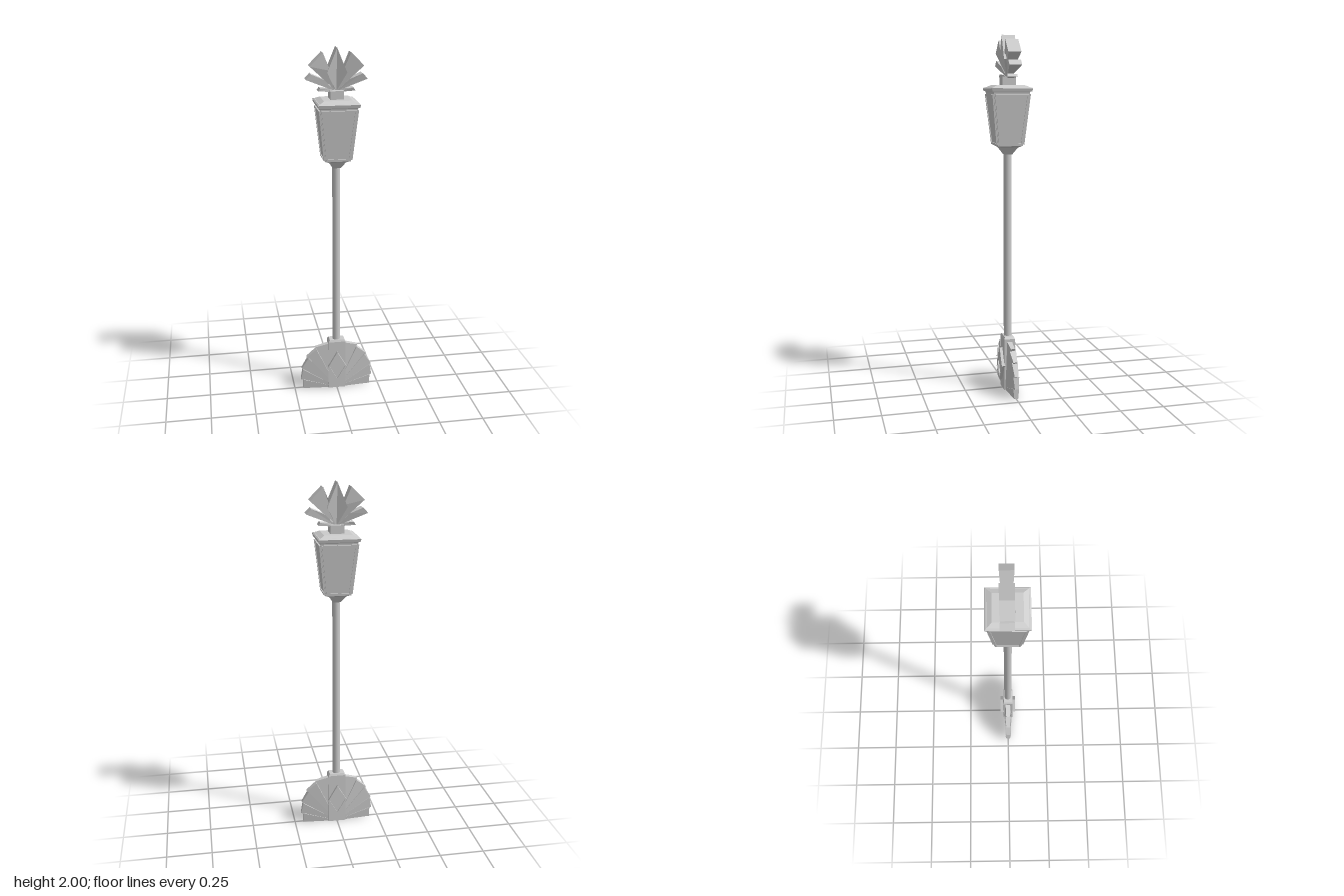
import * as THREE from 'three';

const material = new THREE.MeshStandardMaterial({ color: 0xcccccc, flatShading: true });
const smooth = new THREE.MeshStandardMaterial({ color: 0xcccccc });

// Slab from a counter-clockwise outline; each point is [x, y, half thickness]
function slab(points) {
  const v = [];
  const F = ([x, y, t]) => [x, y, t];
  const B = ([x, y, t]) => [x, y, -t];
  const n = points.length;
  for (let i = 0; i < n; i++) {
    const a = points[i], b = points[(i + 1) % n];
    if (i > 0 && i < n - 1) {
      v.push(...F(points[0]), ...F(a), ...F(b));
      v.push(...B(points[0]), ...B(b), ...B(a));
    }
    v.push(...F(a), ...B(a), ...B(b), ...F(a), ...B(b), ...F(b));
  }
  const g = new THREE.BufferGeometry();
  g.setAttribute('position', new THREE.Float32BufferAttribute(v, 3));
  g.computeVertexNormals();
  return g;
}

const mirror = (points) => points.map(([x, y, t]) => [-x, y, t]).reverse();

// Square frustum given by half widths and heights
function frustum(bottom, top, y0, y1) {
  const g = new THREE.CylinderGeometry(top * Math.SQRT2, bottom * Math.SQRT2, y1 - y0, 4);
  g.rotateY(Math.PI / 4);
  g.translate(0, (y0 + y1) / 2, 0);
  return g;
}

export function createModel() {
  const model = new THREE.Group();
  const add = (name, geometry, parent = model, mat = material) => {
    const mesh = new THREE.Mesh(geometry, mat);
    mesh.name = name;
    parent.add(mesh);
    return mesh;
  };
  const group = (name) => {
    const g = new THREE.Group();
    g.name = name;
    model.add(g);
    return g;
  };

  // Stepped, pleated fan on both sides of the foot
  const fan = group('baseFan');
  const blades = [
    [[0.2, 0], [0.2, 0.06]],
    [[0.213, 0.06], [0.2, 0.128]],
    [[0.208, 0.132], [0.168, 0.2]],
    [[0.178, 0.204], [0.12, 0.252]],
    [[0.124, 0.265], [0.0, 0.297]],
  ];
  for (const [low, high] of blades) {
    const outline = [[0, 0, 0.027], [...low, 0.011], [...high, 0.017]];
    add('fanBlade', slab(outline), fan);
    add('fanBlade', slab(mirror(outline)), fan);
  }

  // Central foot block with a shallow chamfered top
  const foot = group('footBlock');
  const block = new THREE.BoxGeometry(0.1, 0.3, 0.062);
  block.translate(0, 0.15, 0);
  add('block', block, foot);
  const blockTop = frustum(0.05, 0.042, 0.3, 0.312);
  blockTop.scale(1, 1, 0.62);
  add('blockTop', blockTop, foot);

  // Raised diamonds on front and back: a rim with a recessed panel
  const rhombus = (w, h, Type = THREE.Shape) =>
    new Type([[0, -h], [w, 0], [0, h], [-w, 0]].map(([x, y]) => new THREE.Vector2(x, y)));
  const rim = rhombus(0.055, 0.095);
  rim.holes.push(rhombus(0.045, 0.078, THREE.Path));
  const rimGeometry = new THREE.ExtrudeGeometry(rim, { depth: 0.02, bevelEnabled: false });
  const panelGeometry = new THREE.ExtrudeGeometry(rhombus(0.047, 0.081), { depth: 0.014, bevelEnabled: false });
  for (const angle of [0, Math.PI]) {
    const diamond = group('footDiamond');
    add('diamondRim', rimGeometry, diamond).position.z = 0.027;
    add('diamondPanel', panelGeometry, diamond).position.z = 0.027;
    diamond.position.y = 0.145;
    diamond.rotation.y = angle;
  }

  // Pole
  const pole = new THREE.CylinderGeometry(0.022, 0.022, 1.08, 16);
  pole.translate(0, 0.84, 0);
  add('pole', pole, model, smooth);

  // Lantern body
  const lantern = group('lantern');
  add('lanternFunnel', frustum(0.022, 0.048, 1.352, 1.392), lantern);
  add('lanternFloor', frustum(0.048, 0.07, 1.39, 1.402), lantern);
  add('lanternCore', frustum(0.07, 0.1, 1.4, 1.69), lantern);

  // Framed pane on each sloping side
  const trapezoid = (inset, Type = THREE.Shape) => {
    const b = 0.066 - inset, t = 0.094 - inset, h = 0.138 - inset;
    return new Type([[-b, -h], [b, -h], [t, h], [-t, h]].map(([x, y]) => new THREE.Vector2(x, y)));
  };
  const frame = trapezoid(0);
  frame.holes.push(trapezoid(0.009, THREE.Path));
  const frameGeometry = new THREE.ExtrudeGeometry(frame, { depth: 0.011, bevelEnabled: false });
  const paneGeometry = new THREE.ExtrudeGeometry(trapezoid(0.008), { depth: 0.006, bevelEnabled: false });
  for (let i = 0; i < 4; i++) {
    const side = new THREE.Group();
    side.name = 'lanternSide';
    side.rotation.y = (i * Math.PI) / 2;
    const tilt = new THREE.Group();
    tilt.position.set(0, 1.545, 0.082);
    tilt.rotation.x = Math.atan2(0.03, 0.29);
    add('paneFrame', frameGeometry, tilt);
    add('pane', paneGeometry, tilt);
    side.add(tilt);
    lantern.add(side);
  }

  // Cap and neck
  const cap = group('lanternCap');
  add('capUnderside', frustum(0.098, 0.104, 1.685, 1.7), cap);
  add('capSlab', frustum(0.11, 0.114, 1.697, 1.713), cap);
  add('capRim', frustum(0.114, 0.107, 1.713, 1.718), cap);
  add('capSlope', frustum(0.105, 0.077, 1.717, 1.73), cap);
  add('capNeck', frustum(0.037, 0.037, 1.725, 1.775), cap);

  // Crown of petals, thin at the root and thick at the tip
  const crown = group('crown');
  crown.position.z = -0.004;
  add('centrePetal', slab([[0, 1.77, 0.008], [0.054, 1.87, 0.037], [0, 2, 0.037], [-0.054, 1.87, 0.037]]), crown);
  const petals = [
    [[0, 1.77, 0.006], [0.145, 1.905, 0.036], [0.075, 1.975, 0.036], [0.035, 1.88, 0.03]],
    [[0, 1.768, 0.005], [0.165, 1.836, 0.035], [0.138, 1.864, 0.035], [0.07, 1.835, 0.024]],
    [[0, 1.764, 0.005], [0.1, 1.774, 0.028], [0.09, 1.79, 0.028], [0.04, 1.785, 0.014]],
  ];
  for (const petal of petals) {
    add('sidePetal', slab(petal), crown);
    add('sidePetal', slab(mirror(petal)), crown);
  }

  return model;
}
